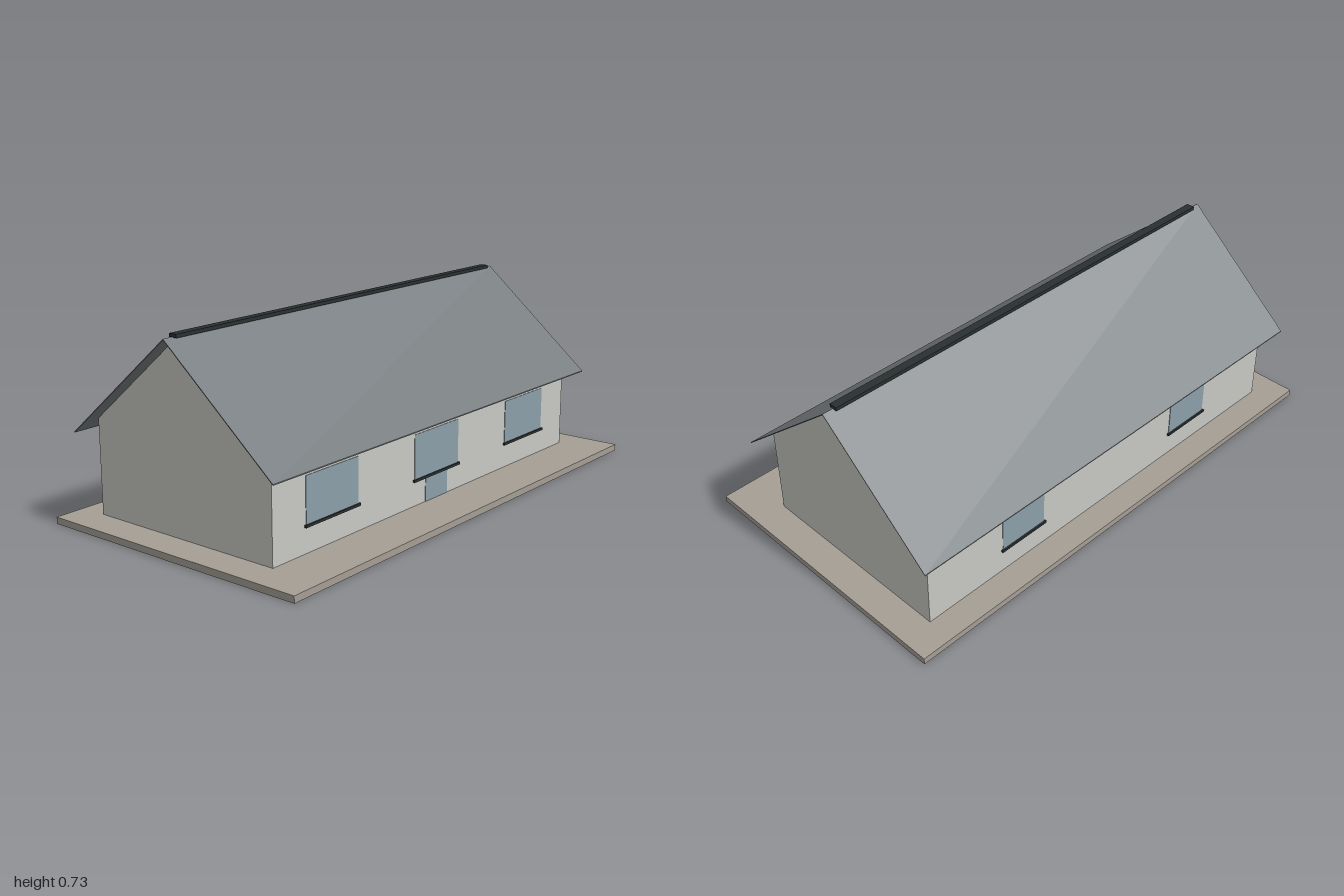
import * as THREE from 'three';

const makeMaterial = (name, color) => {
  const m = new THREE.MeshStandardMaterial({ color });
  m.name = name;
  return m;
};

export function createModel() {
  const wall = makeMaterial('wall plaster', 0xc8c9c3);
  const paving = makeMaterial('paving', 0xa59e95);
  const slate = makeMaterial('roof slate', 0x767c7f);
  const dark = makeMaterial('dark trim', 0x2a3030);
  const glass = makeMaterial('glass', 0x8c9faa);

  const house = new THREE.Group();
  house.name = 'house';

  const add = (name, geometry, material) => {
    const mesh = new THREE.Mesh(geometry, material);
    mesh.name = name;
    house.add(mesh);
    return mesh;
  };
  const box = (name, material, [w, h, d], [x, y, z]) =>
    add(name, new THREE.BoxGeometry(w, h, d), material).position.set(x, y, z);

  // Extrudes a [z, y] outline along x, centred on x = 0
  const prism = (points, length) => {
    const shape = new THREE.Shape(points.map(([z, y]) => new THREE.Vector2(z, y)));
    return new THREE.ExtrudeGeometry(shape, { depth: length, bevelEnabled: false })
      .translate(0, 0, -length / 2)
      .rotateY(-Math.PI / 2);
  };

  const ridgeZ = -0.045, frontZ = 0.355, backZ = -0.445;
  const base = 0.025, eave = 0.374, ridge = 0.71;

  // Ground slab and gabled body
  box('groundSlab', paving, [2, base, 1.1], [0, base / 2, 0]);
  add('walls', prism([
    [backZ, base], [frontZ, base], [frontZ, eave], [ridgeZ, ridge], [backZ, eave],
  ], 1.76), wall);

  // Thin roof slopes, overhanging the walls
  for (const side of [1, -1]) {
    const edge = ridgeZ + side * 0.46;
    add(side > 0 ? 'frontRoofSlope' : 'backRoofSlope', prism([
      [ridgeZ, 0.712], [edge, 0.325], [edge, 0.329], [ridgeZ, 0.716],
    ], 1.876), slate);
  }
  box('ridgeCap', dark, [1.79, 0.013, 0.032], [0, 0.7195, ridgeZ]);

  // Windows with sills: three at the front, two at the back
  const addWindow = (x, z, width) => {
    box('window', glass, [width, 0.17, 0.004], [x, 0.205, z]);
    box('windowSill', dark, [width + 0.013, 0.009, 0.016], [x, 0.12, z]);
  };
  for (const x of [-0.586, 0, 0.586]) addWindow(x, frontZ, 0.268);
  for (const x of [-0.44, 0.44]) addWindow(x, backZ, 0.2);

  // Door below the middle window
  box('door', glass, [0.134, 0.095, 0.004], [0, 0.0725, frontZ]);

  return house;
}
